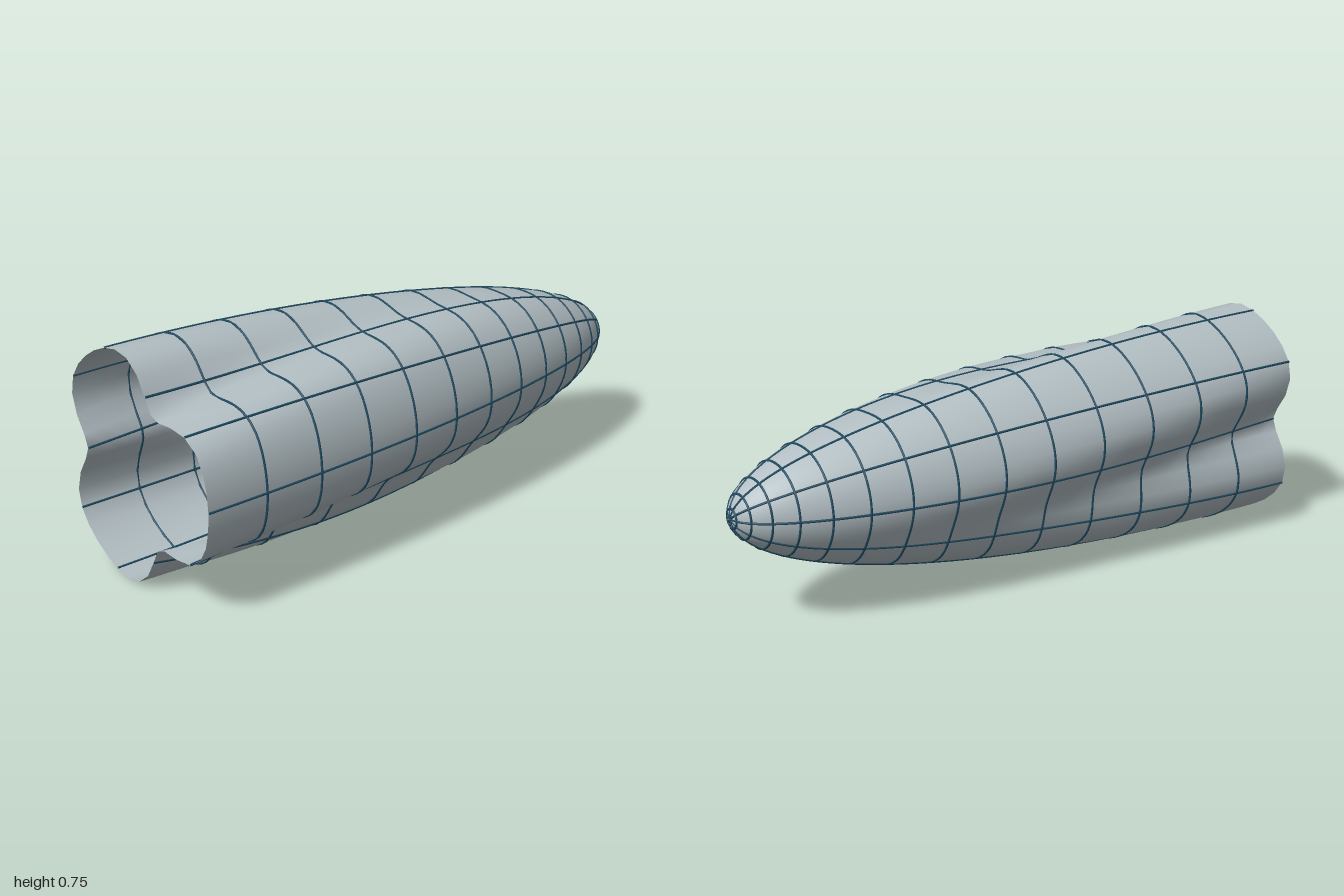
import * as THREE from 'three';
import { ParametricGeometry } from 'three/addons/geometries/ParametricGeometry.js';

const HALF_PI = Math.PI / 2;
const CENTER_Y = 0.376, CENTER_Z = -0.025, RADIUS = 0.382;

// Half-ellipsoid whose three grooves deepen toward the rear and twist along the length.
// phi runs from 0 at the nose to 90 degrees at the open rear; theta goes round the hull.
function hullPoint(phi, theta, target) {
  const x = -1 + 2 * Math.cos(phi);
  const depth = 0.36 * Math.pow((1 - x) / 2, 1.36);
  const twist = -THREE.MathUtils.degToRad(18) * (x + 1);
  const groove = Math.pow(Math.cos(1.5 * (theta - twist)), 6);
  const r = RADIUS * Math.sin(phi) * (1 - depth * groove);
  return target.set(x, CENTER_Y + r * Math.sin(theta), CENTER_Z - r * Math.cos(theta));
}

// A curve lying on the hull, given by t -> [phi, theta]
class HullCurve extends THREE.Curve {
  constructor(path) {
    super();
    this.path = path;
  }
  getPoint(t, target = new THREE.Vector3()) {
    return hullPoint(...this.path(t), target);
  }
}

export function createModel() {
  const model = new THREE.Group();
  model.name = 'twistedHull';

  const shellGrey = new THREE.MeshStandardMaterial({ color: 0xb3bfc4, side: THREE.DoubleSide });
  shellGrey.name = 'shellGrey';
  const seamBlue = new THREE.MeshStandardMaterial({ color: 0x1f4a60 });
  seamBlue.name = 'seamBlue';

  const add = (name, geometry, material) => {
    const mesh = new THREE.Mesh(geometry, material);
    mesh.name = name;
    model.add(mesh);
  };

  // Open shell, rear to nose
  add('shell', new ParametricGeometry(
    (u, v, target) => hullPoint(0.008 + (1 - v) * (HALF_PI - 0.008), u * Math.PI * 2, target),
    40, 42), shellGrey);

  // Ten lengthwise seams
  for (let i = 0; i < 10; i++) {
    const theta = i * Math.PI / 5;
    const curve = new HullCurve(t => [0.006 + t * (HALF_PI - 0.006), theta]);
    add('lengthSeam', new THREE.TubeGeometry(curve, 60, 0.004, 6, false), seamBlue);
  }

  // Ring seams, evenly spaced in phi
  for (let i = 1; i <= 14; i++) {
    const phi = HALF_PI - THREE.MathUtils.degToRad(6.1 * i);
    const curve = new HullCurve(t => [phi, t * Math.PI * 2]);
    add('ringSeam', new THREE.TubeGeometry(curve, 80, 0.004, 6, true), seamBlue);
  }

  return model;
}
